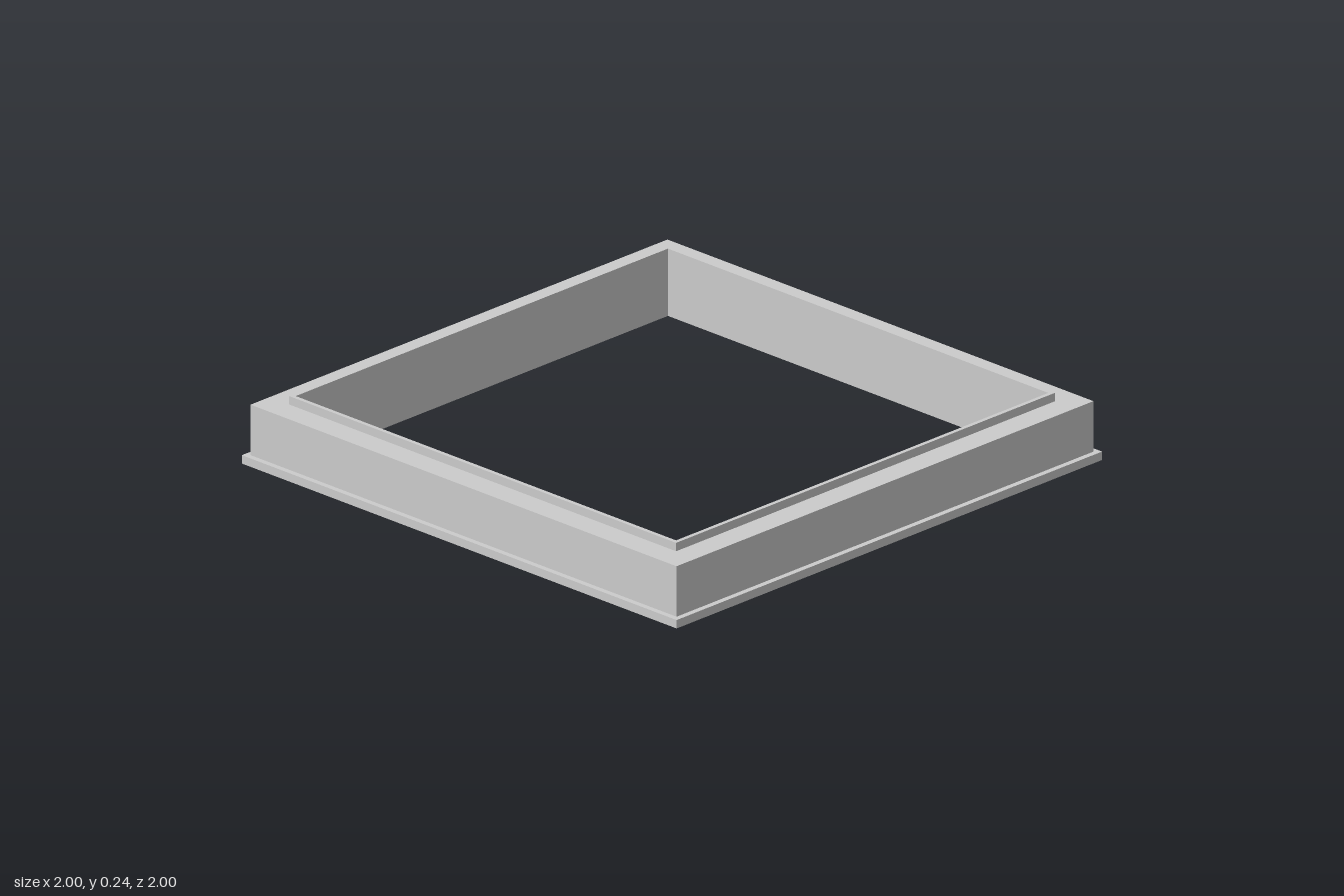
import * as THREE from 'three';

// Sizes are half-widths of the square frame
const INNER = 0.875;
const BASE = { half: 1.0, top: 0.03 };
const BODY = { half: 0.98, top: 0.21 };
const LIP = { half: 0.89, top: 0.24 };

// Sweeps a closed (half-width, height) profile around a square with mitred corners
function squareRing(profile) {
  const points = profile.map(([half, y]) => new THREE.Vector2(half * Math.SQRT2, y));
  points.push(points[0].clone());
  const geometry = new THREE.LatheGeometry(points, 4, Math.PI / 4).toNonIndexed();
  geometry.computeVertexNormals();
  return geometry;
}

export function createModel() {
  const group = new THREE.Group();
  group.name = 'squareFrame';

  // Base flange, upright wall and raised inner lip as one continuous section
  const frame = new THREE.Mesh(
    squareRing([
      [INNER, 0],
      [BASE.half, 0],
      [BASE.half, BASE.top],
      [BODY.half, BASE.top],
      [BODY.half, BODY.top],
      [LIP.half, BODY.top],
      [LIP.half, LIP.top],
      [INNER, LIP.top],
    ]),
    new THREE.MeshStandardMaterial({ color: 0xcccccc, flatShading: true })
  );
  frame.name = 'steppedFrame';
  group.add(frame);

  return group;
}
